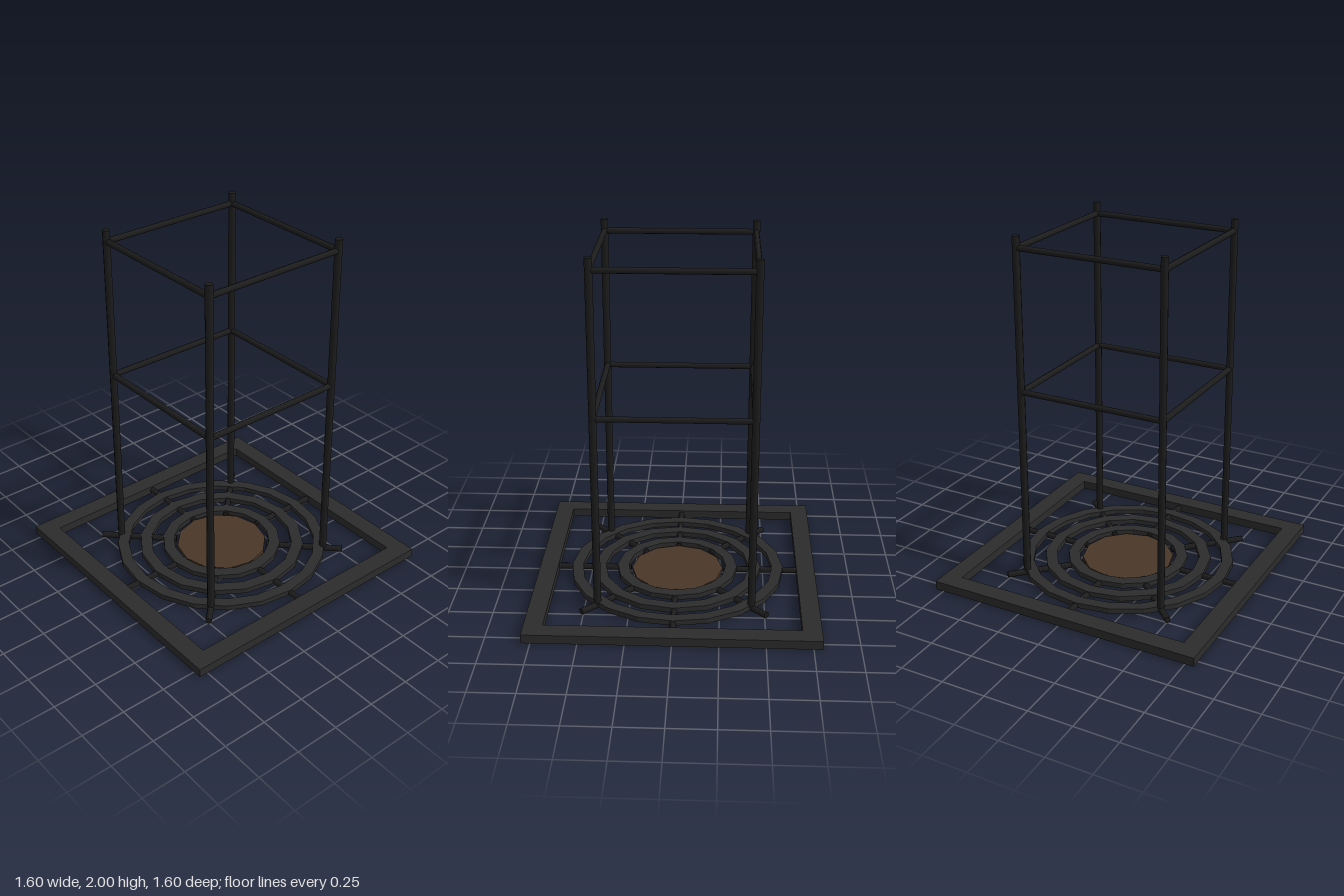
import * as THREE from 'three';

export function createModel() {
  const model = new THREE.Group();
  const iron = new THREE.MeshStandardMaterial({ color: 0x2c2c2c });
  iron.name = 'dark iron';
  const rod = new THREE.MeshStandardMaterial({ color: 0x1c1c1c });
  rod.name = 'black rod';
  const earth = new THREE.MeshStandardMaterial({ color: 0x4a3728 });
  earth.name = 'brown earth';

  function add(name, geometry, material, x = 0, y = 0, z = 0) {
    const mesh = new THREE.Mesh(geometry, material);
    mesh.name = name;
    mesh.position.set(x, y, z);
    model.add(mesh);
    return mesh;
  }

  // Flat plate lying on the ground plane, extruded upwards
  function plate(shape, height) {
    return new THREE.ExtrudeGeometry(shape, { depth: height, bevelEnabled: false }).rotateX(-Math.PI / 2);
  }

  function polygon(radius, sides) {
    return Array.from({ length: sides }, (_, i) => {
      const a = (i / sides) * Math.PI * 2;
      return new THREE.Vector2(radius * Math.cos(a), radius * Math.sin(a));
    });
  }

  function square(h) {
    return [[-h, -h], [h, -h], [h, h], [-h, h]].map(([x, y]) => new THREE.Vector2(x, y));
  }

  // Square base frame
  const frame = new THREE.Shape(square(0.8));
  frame.holes.push(new THREE.Path(square(0.695)));
  add('baseFrame', plate(frame, 0.05), iron);

  // Concentric grate rings
  [[0.285, 0.35, 16], [0.42, 0.487, 16], [0.553, 0.617, 20]].forEach(([inner, outer, sides], i) => {
    const ring = new THREE.Shape(polygon(outer, sides));
    ring.holes.push(new THREE.Path(polygon(inner, sides)));
    add(`grateRing${i + 1}`, plate(ring, 0.03), iron, 0, 0.013, 0);
  });

  // Radial spokes under the rings
  for (let i = 0; i < 8; i++) {
    const a = (i * Math.PI) / 4;
    const geometry = new THREE.CylinderGeometry(0.018, 0.018, 0.45, 8).rotateZ(Math.PI / 2);
    const spoke = add(`spoke${i + 1}`, geometry, rod, 0.495 * Math.cos(a), 0.023, -0.495 * Math.sin(a));
    spoke.rotation.y = a;
  }

  // Central soil disc
  add('soilDisc', new THREE.CylinderGeometry(0.265, 0.265, 0.02, 12), earth, 0, 0.018, 0);

  // Corner posts
  const p = 0.427;
  for (const x of [-p, p]) {
    for (const z of [-p, p]) {
      add('cornerPost', new THREE.CylinderGeometry(0.021, 0.021, 1.97, 8), rod, x, 1.015, z);
    }
  }

  // Two tiers of horizontal rails
  for (const y of [1.135, 1.935]) {
    for (const s of [-p, p]) {
      add('railAcross', new THREE.CylinderGeometry(0.017, 0.017, 2 * p, 8).rotateZ(Math.PI / 2), rod, 0, y, s);
      add('railDeep', new THREE.CylinderGeometry(0.017, 0.017, 2 * p, 8).rotateX(Math.PI / 2), rod, s, y, 0);
    }
  }
  return model;
}
